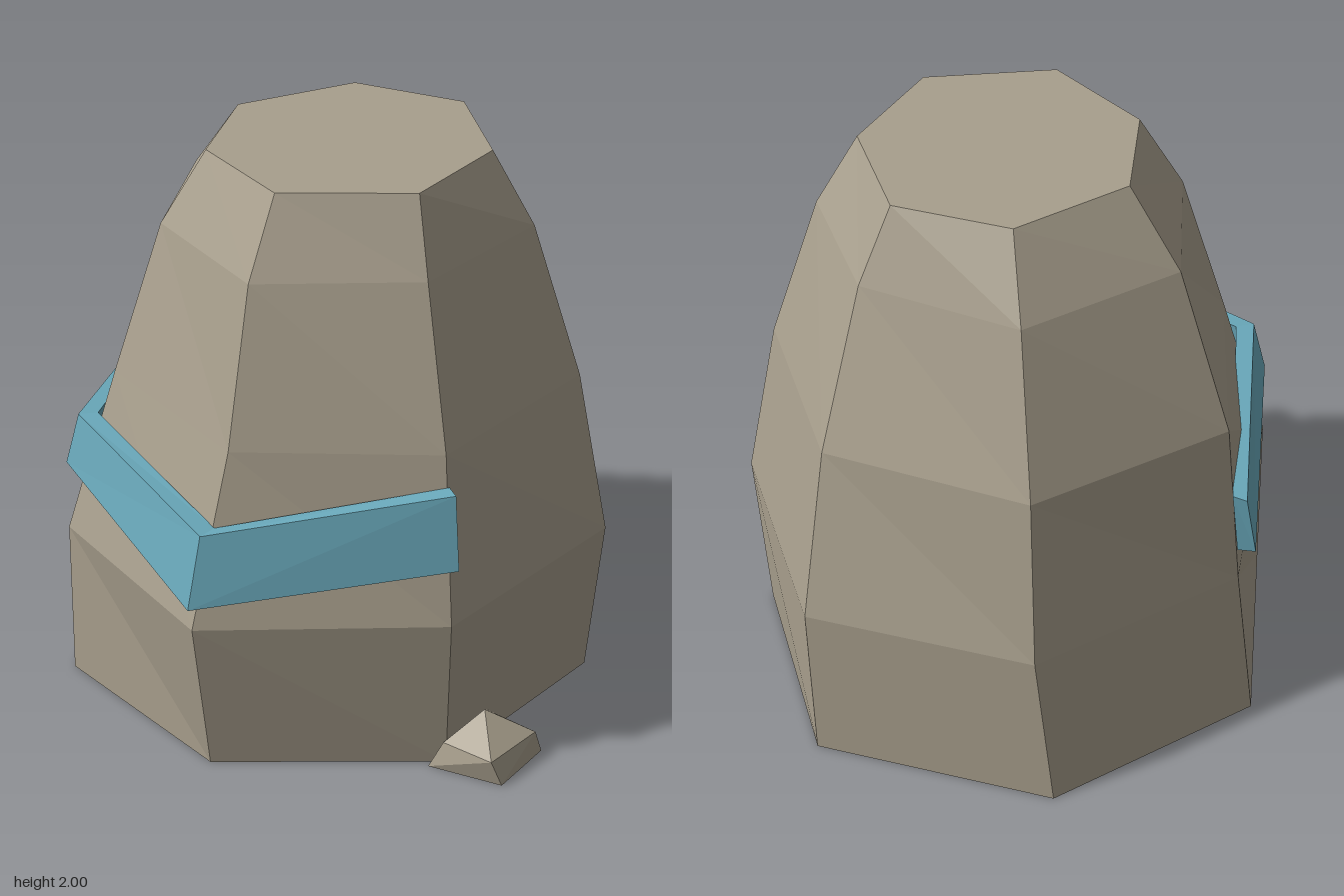
import * as THREE from 'three';
import { ConvexGeometry } from 'three/addons/geometries/ConvexGeometry.js';

// Faceted solid through matching closed cross-sections, capped at both ends
function loft(sections) {
  const pos = [];
  const tri = (a, b, c) => pos.push(...a, ...b, ...c);
  const n = sections[0].length;
  for (let i = 0; i < sections.length - 1; i++) {
    const s = sections[i], t = sections[i + 1];
    for (let k = 0; k < n; k++) {
      const j = (k + 1) % n;
      tri(s[k], t[k], t[j]);
      tri(s[k], t[j], s[j]);
    }
  }
  const first = sections[0], last = sections[sections.length - 1];
  for (let k = 1; k < n - 1; k++) {
    tri(first[0], first[k], first[k + 1]);
    tri(last[0], last[k + 1], last[k]);
  }
  const g = new THREE.BufferGeometry();
  g.setAttribute('position', new THREE.Float32BufferAttribute(pos, 3));
  g.computeVertexNormals();
  return g;
}

export function createModel() {
  const stone = new THREE.MeshStandardMaterial({ name: 'stone', color: 0xa89f8d });
  const blue = new THREE.MeshStandardMaterial({ name: 'blue paint', color: 0x69a8ba });
  const model = new THREE.Group();
  model.name = 'bandedRock';

  const add = (name, geometry, material) => {
    const mesh = new THREE.Mesh(geometry, material);
    mesh.name = name;
    model.add(mesh);
  };

  // Seven-sided boulder: each ring is a height and its x, z corners
  const rings = [
    [0, [[-0.65, -0.765], [0.18, -1], [0.79, -0.45], [0.77, 0.35], [0.15, 0.865], [-0.62, 0.74], [-1, 0]]],
    [0.6, [[-0.58, -0.78], [0.2, -1], [0.855, -0.44], [0.825, 0.41], [0.18, 0.97], [-0.6, 0.75], [-0.93, -0.03]]],
    [1.2, [[-0.51, -0.7], [0.21, -0.845], [0.76, -0.375], [0.75, 0.36], [0.195, 0.79], [-0.48, 0.61], [-0.855, -0.02]]],
    [1.74, [[-0.37, -0.54], [0.2, -0.62], [0.605, -0.295], [0.6, 0.275], [0.17, 0.65], [-0.365, 0.48], [-0.63, 0.01]]],
    [2, [[-0.25, -0.4], [0.15, -0.5], [0.48, -0.22], [0.51, 0.21], [0.155, 0.5], [-0.25, 0.375], [-0.43, 0.01]]],
  ];
  add('boulder', loft(rings.map(([y, pts]) => pts.map(([x, z]) => [x, y, z]))), stone);

  // Band around the front: outer bottom, outer top, inner top, inner bottom
  add('band', loft([
    [[-0.98, 0.725, -0.01], [-0.95, 0.955, -0.04], [-0.9, 0.96, -0.05], [-0.92, 0.72, -0.03]],
    [[-0.585, 0.87, 0.76], [-0.545, 1.06, 0.73], [-0.5, 1.06, 0.68], [-0.54, 0.86, 0.7]],
    [[0.19, 0.695, 0.998], [0.195, 0.95, 0.935], [0.195, 0.95, 0.865], [0.19, 0.69, 0.93]],
    [[0.85, 0.825, 0.41], [0.82, 1.09, 0.395], [0.77, 1.09, 0.365], [0.8, 0.815, 0.385]],
  ]), blue);

  // Small pebble at the foot
  const pebble = [
    [0.74, 0, 0.1], [0.74, 0, 0.41], [1, 0, 0.34], [0.985, 0, 0.09],
    [0.78, 0.1, 0.13], [0.78, 0.1, 0.38], [0.975, 0.1, 0.37], [0.985, 0.1, 0.13],
    [0.855, 0.2, 0.25],
  ];
  add('pebble', new ConvexGeometry(pebble.map((p) => new THREE.Vector3(...p))), stone);

  return model;
}
